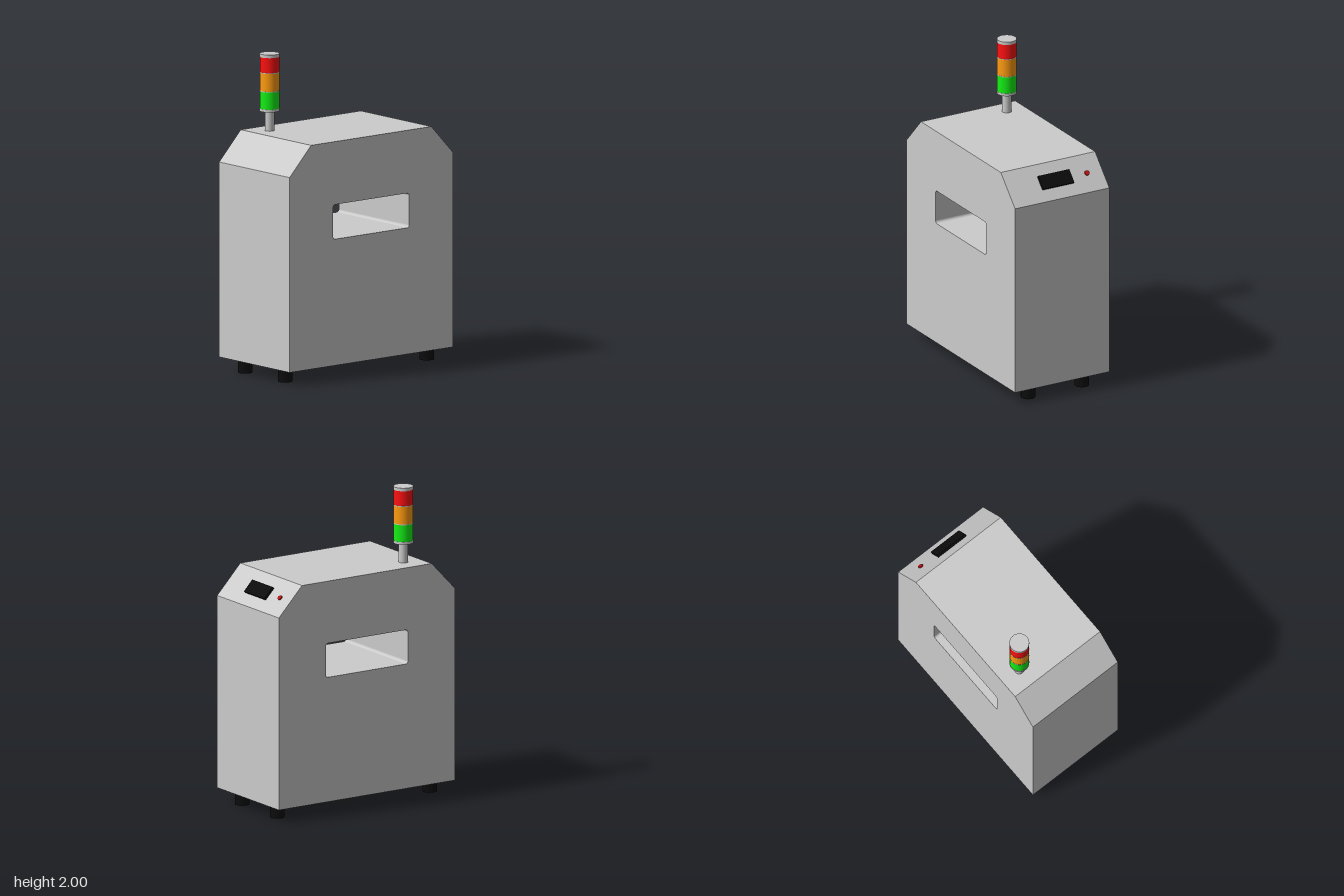
import * as THREE from 'three';

const material = (color) => new THREE.MeshStandardMaterial({ color });
const grey = material(0xcccccc);
const black = material(0x0c0c0c);

export function createModel() {
  const model = new THREE.Group();

  function add(name, geometry, mat, x, y, z, parent = model) {
    const mesh = new THREE.Mesh(geometry, mat);
    mesh.name = name;
    mesh.position.set(x, y, z);
    parent.add(mesh);
    return mesh;
  }

  // Cabinet: chamfered outline with a rounded pass-through window
  const W = 0.665, D = 0.342, bottom = 0.087, shoulder = 1.326, top = 1.51, topW = 0.49;
  const outline = new THREE.Shape([
    [-W, bottom], [W, bottom], [W, shoulder], [topW, top], [-topW, top], [-W, shoulder],
  ].map(([x, y]) => new THREE.Vector2(x, y)));

  const hw = 0.31, y0 = 0.89, y1 = 1.11, r = 0.018;
  const opening = new THREE.Path();
  opening.absarc(hw - r, y1 - r, r, 0, Math.PI / 2);
  opening.absarc(-hw + r, y1 - r, r, Math.PI / 2, Math.PI);
  opening.absarc(-hw + r, y0 + r, r, Math.PI, Math.PI * 1.5);
  opening.absarc(hw - r, y0 + r, r, Math.PI * 1.5, Math.PI * 2);
  opening.closePath();
  outline.holes.push(opening);
  const cabinet = new THREE.ExtrudeGeometry(outline, { depth: 2 * D, bevelEnabled: false, curveSegments: 8 });
  add('cabinet', cabinet, grey, 0, 0, -D);

  // Feet
  const footGeometry = new THREE.CylinderGeometry(0.046, 0.046, bottom, 32);
  for (const x of [-0.576, 0.576]) {
    for (const z of [-0.195, 0.195]) add('foot', footGeometry, black, x, bottom / 2, z);
  }

  // Control panel on the chamfer: local y points out of the sloped face
  const panel = new THREE.Group();
  panel.name = 'controlPanel';
  panel.position.set((W + topW) / 2, (top + shoulder) / 2, 0);
  panel.rotation.z = -Math.atan2(top - shoulder, W - topW);
  model.add(panel);
  add('display', new THREE.BoxGeometry(0.092, 0.02, 0.225), black, 0, 0.006, -0.002, panel);
  add('button', new THREE.CylinderGeometry(0.016, 0.016, 0.012, 24), material(0xcc1010), 0, 0.002, -0.23, panel);

  // Signal tower: pole and stacked lamp segments
  const tower = new THREE.Group();
  tower.name = 'signalTower';
  tower.position.set(-0.367, 0, -0.208);
  model.add(tower);
  const segments = [
    ['pole', 0.03, 1.5, 1.64, grey],
    ['towerBase', 0.062, 1.635, 1.652, grey],
    ['greenLamp', 0.061, 1.652, 1.761, material(0x14f014)],
    ['lowerSpacer', 0.062, 1.761, 1.766, grey],
    ['amberLamp', 0.061, 1.766, 1.879, material(0xff9c10)],
    ['upperSpacer', 0.062, 1.879, 1.884, grey],
    ['redLamp', 0.061, 1.884, 1.98, material(0xff1010)],
    ['towerCap', 0.062, 1.98, 2, grey],
  ];
  for (const [name, radius, low, high, mat] of segments) {
    add(name, new THREE.CylinderGeometry(radius, radius, high - low, 40), mat, 0, (low + high) / 2, 0, tower);
  }

  return model;
}
